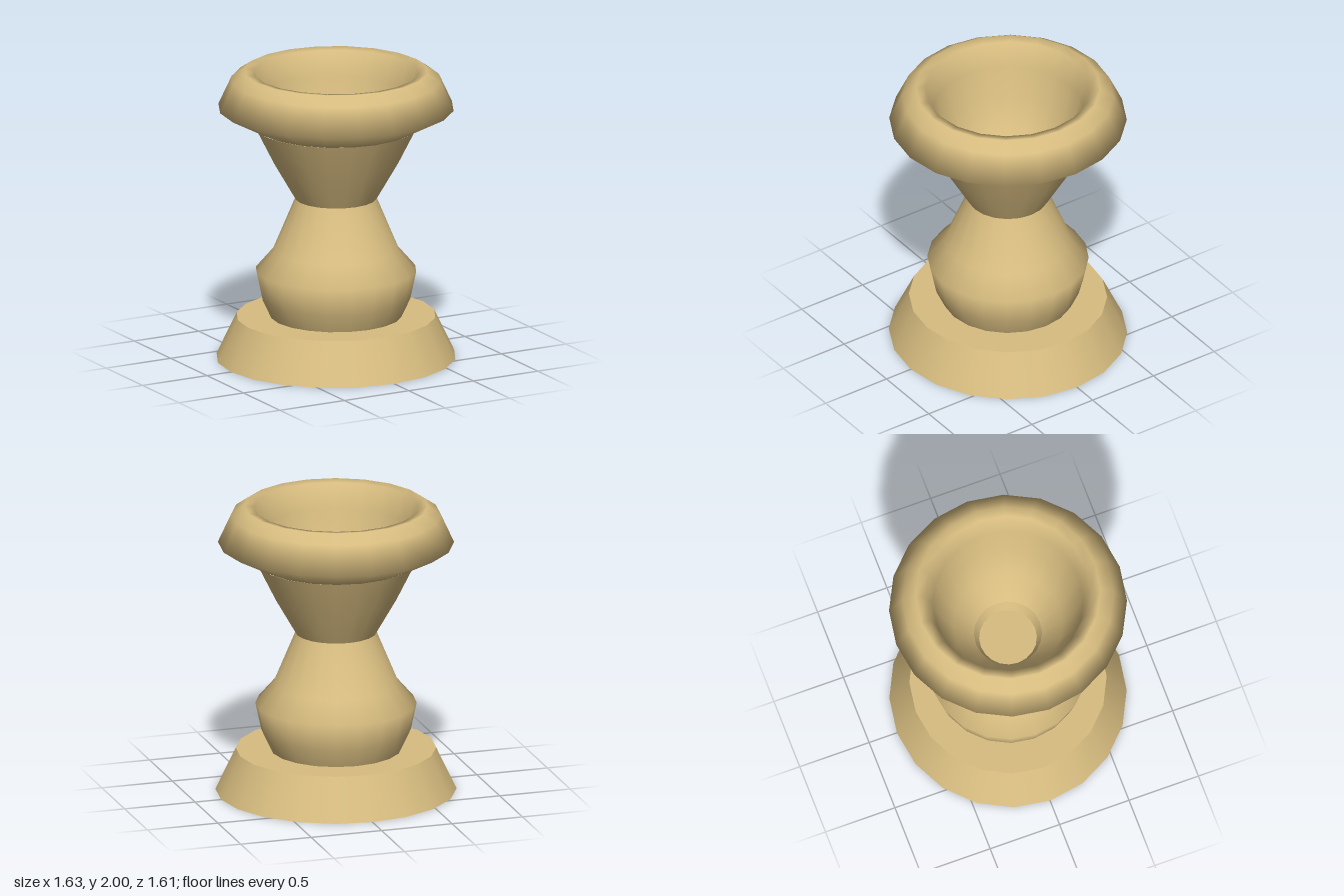
import * as THREE from 'three';

const SIDES = 20;

export function createModel() {
  const group = new THREE.Group();
  const material = new THREE.MeshStandardMaterial({ color: 0xd8bd80 });

  // Turns a profile of [radius, height] points into a named part
  function turned(name, profile, scaleX = 1) {
    const points = profile.map(([r, y]) => new THREE.Vector2(r, y));
    const mesh = new THREE.Mesh(new THREE.LatheGeometry(points, SIDES), material);
    mesh.name = name;
    mesh.scale.x = scaleX;
    group.add(mesh);
  }

  // Tapered foot: sharp-edged and slightly wider in x
  const foot = new THREE.Mesh(new THREE.CylinderGeometry(0.665, 0.8, 0.29, SIDES), material);
  foot.name = 'base';
  foot.position.y = 0.145;
  foot.scale.x = 1.02;
  group.add(foot);

  // Bulging lower stem up to the waist
  turned('lowerStem', [[0.445, 0.29], [0.505, 0.42], [0.545, 0.61], [0.425, 0.75], [0.275, 1.11]]);

  // Flared upper stem
  turned('upperStem', [[0.275, 1.11], [0.425, 1.37], [0.545, 1.61]]);

  // Overhanging rim that rolls over into the bowl
  turned('rimAndBowl', [
    [0.545, 1.61], [0.805, 1.745], [0.715, 1.94], [0.625, 2], [0.56, 1.99],
    [0.51, 1.82], [0.46, 1.6], [0.37, 1.38], [0.23, 1.2],
  ], 0.99);

  // Small well at the bottom of the bowl
  turned('bowlWell', [[0.23, 1.2], [0.195, 1.12]]);
  const floor = new THREE.Mesh(new THREE.CircleGeometry(0.195, SIDES), material);
  floor.name = 'bowlFloor';
  floor.rotation.x = -Math.PI / 2;
  floor.position.y = 1.12;
  group.add(floor);

  return group;
}
